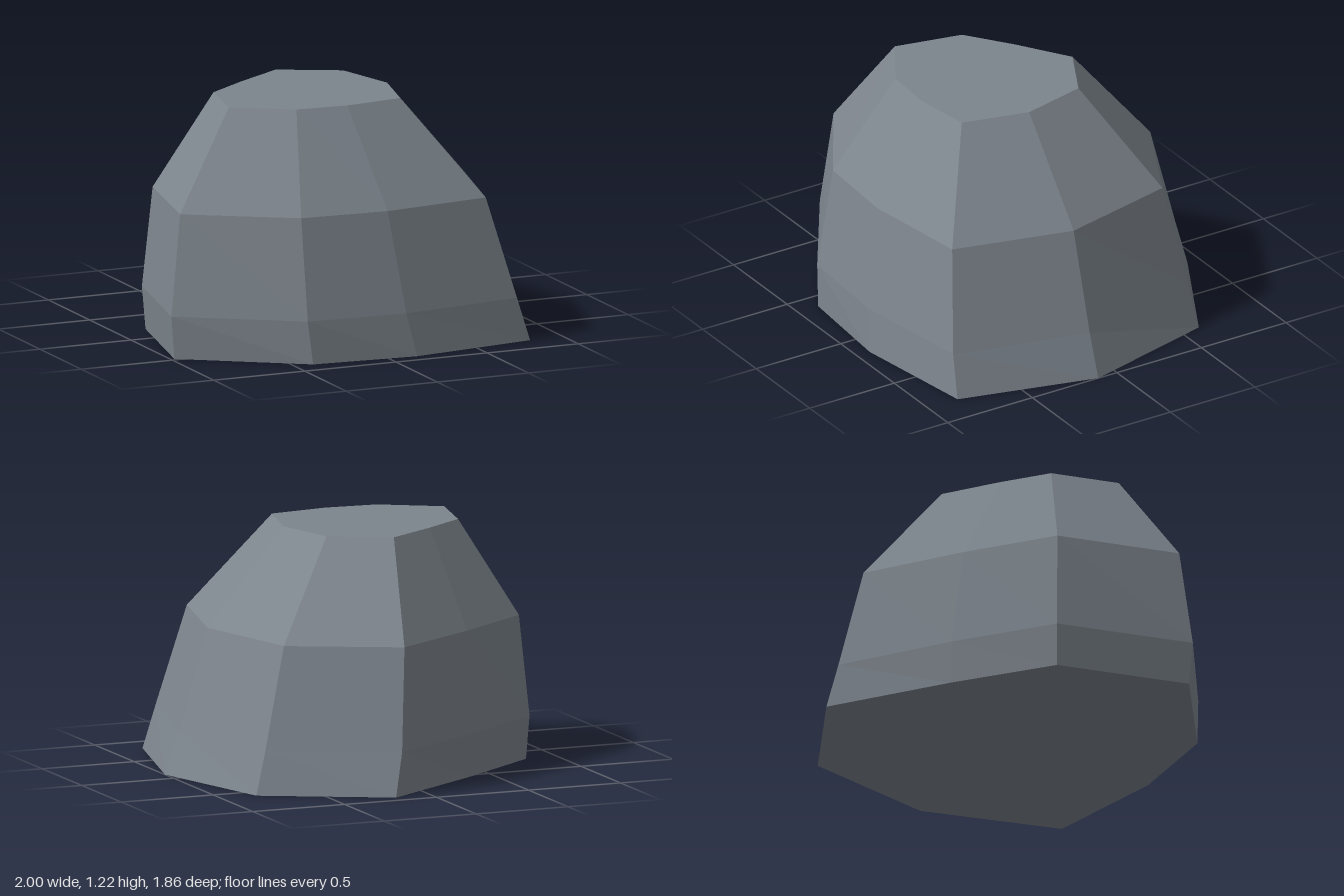
import * as THREE from 'three';

// Cross-sections from the ground up: height and [x, z] corners
const rings = [
  { y: 0, pts: [[1, 0.11], [0.815, 0.825], [0.15, 0.925], [-0.4, 0.88], [-0.98, 0.48], [-0.83, -0.2], [-0.37, -0.55], [0.19, -0.93], [0.81, -0.605]] },
  { y: 0.22, pts: [[0.92, 0.11], [0.75, 0.81], [0.1, 0.905], [-0.425, 0.87], [-1, 0.49], [-0.845, -0.21], [-0.39, -0.55], [0.14, -0.89], [0.75, -0.58]] },
  { y: 0.73, pts: [[0.77, 0.11], [0.615, 0.73], [0.04, 0.81], [-0.42, 0.78], [-0.935, 0.45], [-0.8, -0.18], [-0.39, -0.48], [0.08, -0.78], [0.62, -0.51]] },
  { y: 1.215, pts: [[0.355, 0.11], [0.27, 0.455], [-0.04, 0.5], [-0.31, 0.48], [-0.6, 0.3], [-0.525, -0.05], [-0.3, -0.215], [-0.03, -0.39], [0.27, -0.235]] },
];

function facetedGeometry(sections) {
  const n = sections[0].pts.length;
  const positions = [];
  const index = [];
  for (const { y, pts } of sections) for (const [x, z] of pts) positions.push(x, y, z);

  // Side facets between neighbouring rings
  for (let r = 0; r < sections.length - 1; r++) {
    for (let i = 0; i < n; i++) {
      const j = (i + 1) % n;
      const a = r * n + i, b = r * n + j, c = b + n, d = a + n;
      index.push(a, d, c, a, c, b);
    }
  }

  // Flat underside and flat crown
  const top = (sections.length - 1) * n;
  for (let i = 1; i < n - 1; i++) {
    index.push(0, i, i + 1);
    index.push(top, top + i + 1, top + i);
  }

  const geometry = new THREE.BufferGeometry();
  geometry.setAttribute('position', new THREE.Float32BufferAttribute(positions, 3));
  geometry.setIndex(index);
  const flat = geometry.toNonIndexed();
  flat.computeVertexNormals();
  return flat;
}

export function createModel() {
  const stone = new THREE.MeshStandardMaterial({ color: 0x7d858d, flatShading: true });
  stone.name = 'stone grey';

  const rock = new THREE.Mesh(facetedGeometry(rings), stone);
  rock.name = 'rock';

  const group = new THREE.Group();
  group.name = 'boulder';
  group.add(rock);
  return group;
}
